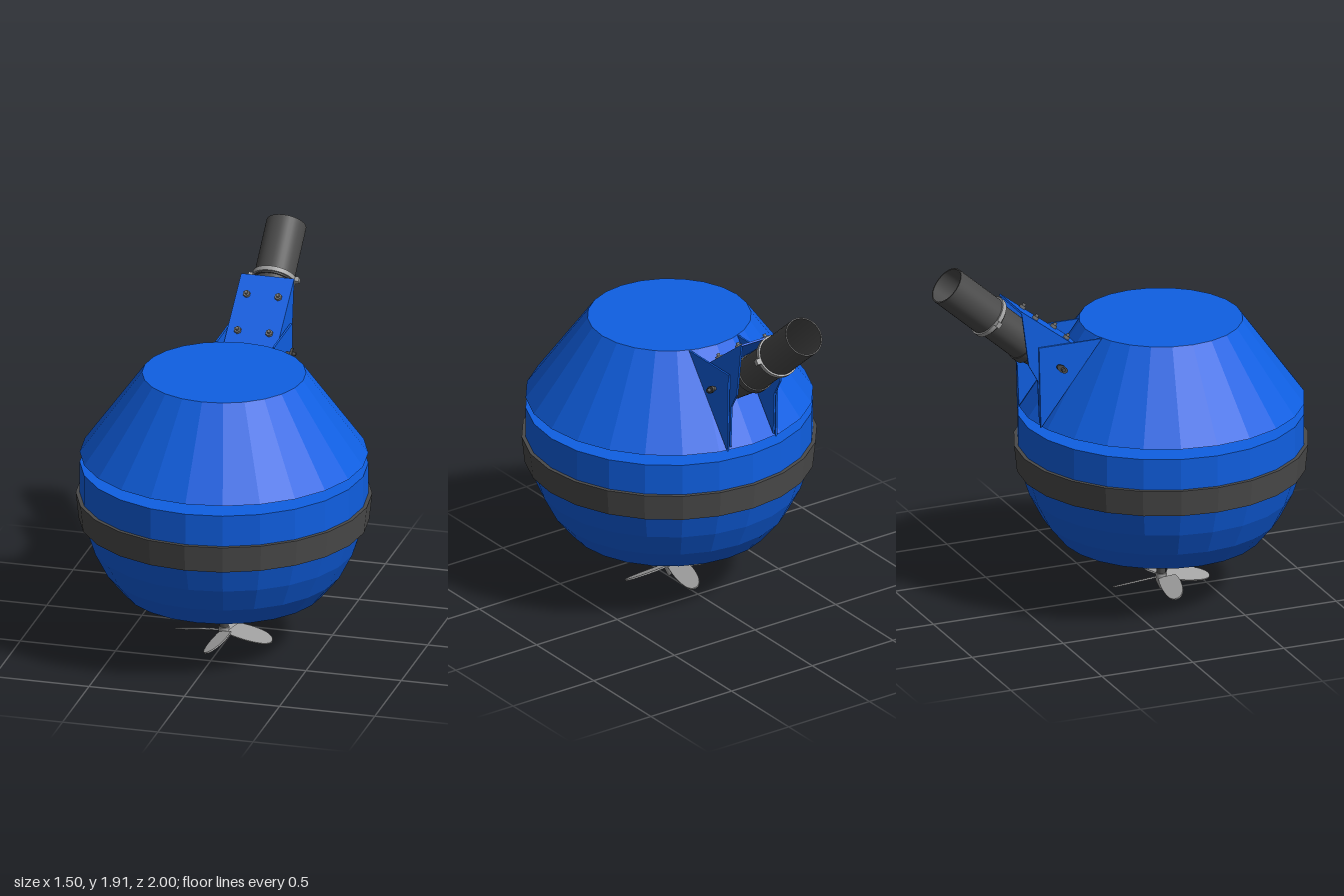
import * as THREE from 'three';
import { toCreasedNormals } from 'three/addons/utils/BufferGeometryUtils.js';

const flat = (name, color) => {
  const m = new THREE.MeshStandardMaterial({ color });
  m.name = name;
  return m;
};

export function createModel() {
  const blue = flat('blue paint', 0x0f5fe2);
  const dark = flat('dark grey', 0x4a4a4a);
  const steel = flat('light steel', 0xa2a2a2);
  const bolt = flat('bolt grey', 0x757575);

  const model = new THREE.Group();
  model.name = 'floatingAerator';

  const add = (parent, name, geo, mat, x = 0, y = 0, z = 0) => {
    const mesh = new THREE.Mesh(geo, mat);
    mesh.name = name;
    mesh.position.set(x, y, z);
    parent.add(mesh);
    return mesh;
  };
  const lathe = (pts, sides, crease) => toCreasedNormals(
    new THREE.LatheGeometry(pts.map(([r, y]) => new THREE.Vector2(r, y)), sides), crease);
  // Thin plate drawn in (z, y), extruded along x and centred on it
  const sidePlate = (pts, thick) => {
    const shape = new THREE.Shape(pts.map(([z, y]) => new THREE.Vector2(-z, y)));
    const geo = new THREE.ExtrudeGeometry(shape, { depth: thick, bevelEnabled: false });
    return geo.translate(0, 0, -thick / 2).rotateY(Math.PI / 2);
  };

  // Float body, all round one vertical axis
  const body = new THREE.Group();
  body.name = 'body';
  body.position.z = 0.25;
  model.add(body);
  add(body, 'lowerShell', lathe([[0, 0.31], [0.515, 0.31], [0.605, 0.42], [0.672, 0.55],
    [0.715, 0.68], [0.73, 0.82], [0.73, 0.985], [0, 0.985]], 24, 0.1), blue);
  add(body, 'upperCone', lathe([[0, 1.04], [0.73, 1.04], [0.415, 1.475], [0, 1.475]], 24, 0.1), blue);
  add(body, 'rubberBand', lathe([[0.71, 0.68], [0.735, 0.68], [0.75, 0.82], [0.725, 0.82]], 24, 0.1), dark);
  add(body, 'centreColumn', lathe([[0.1, 0.96], [0.1, 1.06]], 32, 0.5), dark);
  add(body, 'propellerShaft', lathe([[0, 0.06], [0.023, 0.06], [0.023, 0.33]], 20, 0.5), dark);

  // Four-bladed propeller
  const propeller = new THREE.Group();
  propeller.name = 'propeller';
  body.add(propeller);
  add(propeller, 'hub', lathe([[0, 0], [0.012, 0.015], [0.027, 0.05], [0.027, 0.09], [0, 0.1]], 16, 0.6), steel);
  const leaf = new THREE.Shape();
  leaf.moveTo(0.01, -0.02);
  leaf.lineTo(0.06, 0.06);
  leaf.quadraticCurveTo(0.13, 0.065, 0.21, 0.035);
  leaf.quadraticCurveTo(0.26, 0.01, 0.26, -0.015);
  leaf.quadraticCurveTo(0.26, -0.045, 0.21, -0.05);
  leaf.quadraticCurveTo(0.12, -0.055, 0.01, -0.02);
  const bladeGeo = new THREE.ExtrudeGeometry(leaf, { depth: 0.008, bevelEnabled: false, curveSegments: 6 });
  bladeGeo.translate(0, 0, -0.004).rotateX(-1.15).rotateZ(-0.08);
  for (let i = 0; i < 4; i++) {
    add(propeller, 'blade', bladeGeo, steel, 0, 0.073, 0).rotation.y = i * Math.PI / 2;
  }

  // Bracket: outer gussets on the cone, inner flanges and a sloping cover
  const bracket = new THREE.Group();
  bracket.name = 'bracket';
  model.add(bracket);
  const gusset = sidePlate([[-0.14, 1.475], [-0.485, 1.475], [-0.475, 1.04]], 0.01);
  const flange = sidePlate([[-0.21, 1.4], [-0.575, 1.68], [-0.535, 1.38], [-0.485, 1.29], [-0.475, 1.06]], 0.01);
  const slope = Math.atan2(0.28, 0.365);
  for (const s of [-1, 1]) {
    add(bracket, 'gusset', gusset, blue, s * 0.15, 0, 0);
    add(bracket, 'flange', flange, blue, s * 0.134, 0, 0);

    // Pivot pin with a wing nut
    const pin = new THREE.Group();
    pin.name = 'pivotPin';
    pin.position.set(s * 0.17, 1.355, -0.37);
    pin.rotation.x = slope;
    bracket.add(pin);
    add(pin, 'pin', new THREE.CylinderGeometry(0.01, 0.01, 0.07, 12).rotateZ(Math.PI / 2), dark);
    const wing = new THREE.CylinderGeometry(0.02, 0.02, 0.012, 12).rotateZ(Math.PI / 2).scale(1, 0.9, 1.7);
    add(pin, 'wingNut', wing, dark, s * 0.012, 0, 0);
  }
  const cover = new THREE.Group();
  cover.name = 'cover';
  cover.position.set(0, 1.54, -0.3925);
  cover.rotation.x = slope;
  bracket.add(cover);
  add(cover, 'coverPlate', new THREE.BoxGeometry(0.278, 0.01, 0.46), blue, 0, -0.005, 0);
  for (const x of [-0.083, 0.083]) {
    for (const z of [-0.11, 0.105]) {
      add(cover, 'coverBolt', new THREE.CylinderGeometry(0.019, 0.019, 0.016, 6), bolt, x, 0.008, z);
      add(cover, 'boltTip', new THREE.CylinderGeometry(0.009, 0.009, 0.014, 10), bolt, x, 0.022, z);
    }
  }

  // Slanted outlet pipe, measured down from its open end
  const pipe = new THREE.Group();
  pipe.name = 'outletPipe';
  pipe.position.set(0, 1.828, -0.928);
  pipe.rotation.x = -0.849;
  model.add(pipe);
  add(pipe, 'hose', lathe([[0.09, -0.33], [0.103, -0.33], [0.103, 0], [0.096, 0], [0.096, -0.3], [0, -0.3]], 32, 0.5), dark);
  add(pipe, 'pipeNeck', lathe([[0, -0.82], [0.055, -0.82], [0.088, -0.6], [0.1, -0.6], [0.1, -0.56],
    [0.094, -0.56], [0.094, -0.33]], 32, 0.5), dark);
  add(pipe, 'hoseClamp', lathe([[0.1, -0.322], [0.112, -0.322], [0.112, -0.298], [0.1, -0.298]], 32, 0.5), steel);
  for (const s of [-1, 1]) {
    add(pipe, 'clampEar', new THREE.BoxGeometry(0.026, 0.026, 0.03), steel, s * 0.12, -0.31, 0);
  }

  return model;
}
